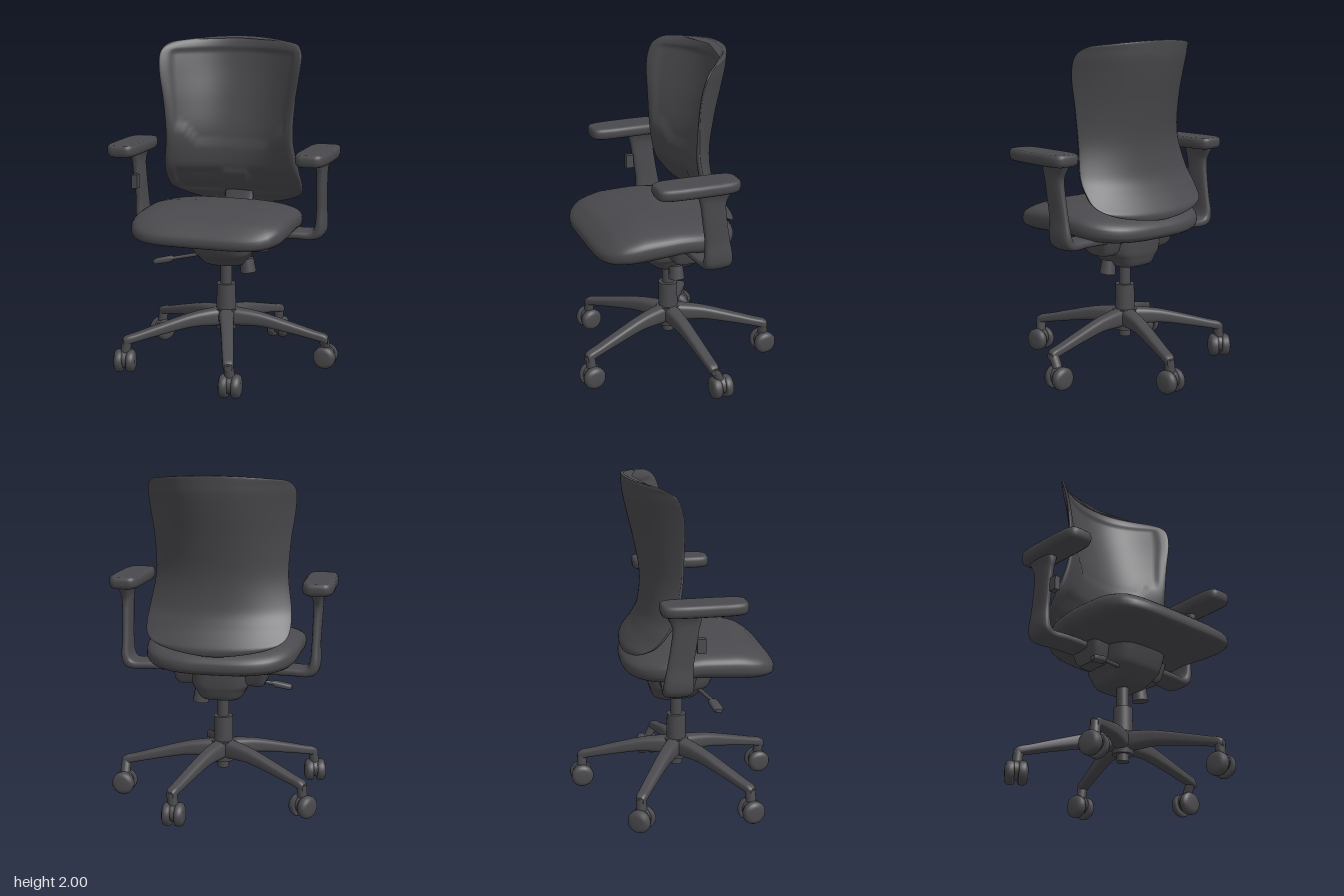
import * as THREE from 'three';

const V = (x, y, z) => new THREE.Vector3(x, y, z);
const charcoal = new THREE.MeshStandardMaterial({ color: 0x4a494d });
charcoal.name = 'charcoal';
const { smoothstep, clamp, lerp } = THREE.MathUtils;
const spow = (v, p) => Math.sign(v) * Math.abs(v) ** p;

// Smoothly resample a table of stations (rows of numbers) to n + 1 rows
function resample(rows, n) {
  const at = i => rows[clamp(i, 0, rows.length - 1)];
  return Array.from({ length: n + 1 }, (_, k) => {
    const f = k / n * (rows.length - 1), i = Math.min(Math.floor(f), rows.length - 2), t = f - i;
    return rows[0].map((_, c) => {
      const [a, b, d, e] = [at(i - 1)[c], at(i)[c], at(i + 1)[c], at(i + 2)[c]];
      return b + 0.5 * t * (d - a + t * (2 * a - 5 * b + 4 * d - e + t * (3 * (b - d) + e - a)));
    });
  });
}

// Piecewise linear lookup in [[key, value], ...]
function lookup(table, k) {
  let i = 0;
  while (i < table.length - 2 && k > table[i + 1][0]) i++;
  const [[a, p], [b, q]] = [table[i], table[i + 1]];
  return lerp(p, q, clamp((k - a) / (b - a), 0, 1));
}

// Closed skin over rings of points, capped at both ends, faces turned outward
function skin(rings) {
  const n = rings[0].length, pos = [], idx = [];
  rings.forEach(r => r.forEach(p => pos.push(p.x, p.y, p.z)));
  for (let i = 0; i < rings.length - 1; i++) for (let j = 0; j < n; j++) {
    const a = i * n + j, b = i * n + (j + 1) % n;
    idx.push(a, b, a + n, b, b + n, a + n);
  }
  [rings[0], rings[rings.length - 1]].forEach((r, end) => {
    const c = r.reduce((s, p) => s.add(p), V(0, 0, 0)).divideScalar(n), o = pos.length / 3;
    [c, ...r].forEach(p => pos.push(p.x, p.y, p.z));
    for (let j = 0; j < n; j++) {
      const a = o + 1 + j, b = o + 1 + (j + 1) % n;
      idx.push(o, ...(end ? [a, b] : [b, a]));
    }
  });
  const P = i => V(pos[3 * i], pos[3 * i + 1], pos[3 * i + 2]);
  let vol = 0;
  for (let i = 0; i < idx.length; i += 3) vol += P(idx[i]).dot(P(idx[i + 1]).cross(P(idx[i + 2])));
  if (vol < 0) idx.reverse();
  const g = new THREE.BufferGeometry();
  g.setAttribute('position', new THREE.Float32BufferAttribute(pos, 3));
  g.setIndex(idx);
  g.computeVertexNormals();
  return g;
}

// Superellipse ring about c with half axes a and b
function ring(c, a, b, m = 3, n = 28) {
  return Array.from({ length: n }, (_, j) => {
    const t = j / n * Math.PI * 2;
    return c.clone().addScaledVector(a, spow(Math.cos(t), 2 / m)).addScaledVector(b, spow(Math.sin(t), 2 / m));
  });
}

function add(parent, name, geo, x = 0, y = 0, z = 0) {
  const m = new THREE.Mesh(geo, charcoal);
  m.name = name;
  m.position.set(x, y, z);
  parent.add(m);
  return m;
}
const cyl = (r1, r2, h, n = 28) => new THREE.CylinderGeometry(r1, r2, h, n);

// Cushion: squarer at the front, rounder at the back
function seatGeometry() {
  const top = [[-0.35, 0.98], [-0.1, 1.03], [0.1, 1.045], [0.3, 1.043], [0.45, 1.015], [0.55, 0.96]];
  const bottom = [[-0.35, 0.8], [-0.15, 0.81], [0.05, 0.84], [0.3, 0.82], [0.55, 0.805]];
  const rings = [];
  for (let i = 0; i <= 32; i++) {
    const f = (i / 32 - 0.5) * Math.PI * 0.998, k = Math.cos(f) ** (2 / 2.8), s = spow(Math.sin(f), 2 / 2.8);
    rings.push(Array.from({ length: 80 }, (_, j) => {
      const t = j / 80 * Math.PI * 2, c = Math.cos(t), d = Math.sin(t), n = d > 0 ? 4.8 : 2.9;
      const r = k / (Math.abs(c) ** n + Math.abs(d) ** n) ** (1 / n);
      const z = 0.1 + 0.447 * d * r, hi = lookup(top, z), lo = lookup(bottom, z);
      return V(0.47 * c * r, (hi + lo) / 2 + s * (hi - lo) / 2, z);
    }));
  }
  return skin(rings);
}

// Curved back shell with a recessed front panel and lumbar relief
function backGeometry() {
  // height, half width, rear centre z, side edge z, thickness
  const rows = resample([
    [0.955, 0.22, -0.325, -0.3, 0.015], [0.965, 0.3, -0.335, -0.29, 0.03], [1.0, 0.375, -0.335, -0.26, 0.05],
    [1.05, 0.42, -0.305, -0.21, 0.06], [1.12, 0.435, -0.26, -0.155, 0.07], [1.22, 0.428, -0.222, -0.09, 0.07],
    [1.4, 0.402, -0.21, -0.045, 0.065], [1.6, 0.412, -0.243, -0.032, 0.055], [1.78, 0.438, -0.285, -0.032, 0.05],
    [1.89, 0.446, -0.308, -0.055, 0.05], [1.95, 0.432, -0.314, -0.085, 0.045], [1.985, 0.4, -0.316, -0.13, 0.035],
    [1.998, 0.34, -0.315, -0.18, 0.018], [2.0, 0.3, -0.313, -0.2, 0.006]], 84);
  return skin(rows.map(([y, w, zr, ze, t]) => Array.from({ length: 144 }, (_, j) => {
    const a = j / 144 * Math.PI * 2, u = Math.cos(a), q = Math.abs(u), x = w * u;
    let z = zr + (ze - zr) * q ** 2.2;
    const ends = Math.sqrt(Math.max(0, 1 - q ** 6));
    if (Math.sin(a) > 0) {
      const panel = (1 - smoothstep(q, 0.82, 0.89)) * smoothstep(y, 1.02, 1.06) * (1 - smoothstep(y, 1.9, 1.94));
      const rise = 1.36 + 0.11 * smoothstep(Math.abs(x), 0.2, 0.32);
      const lumbar = smoothstep(y, 1.16, 1.22) * (1 - smoothstep(y, rise - 0.02, rise + 0.01));
      const stem = (1 - smoothstep(Math.abs(x), 0.07, 0.1)) * smoothstep(y, 1.01, 1.04) * (1 - smoothstep(y, 1.17, 1.2));
      z += t * ends + panel * (-0.012 + 0.012 * lumbar + 0.014 * stem);
    } else z -= 0.008 * ends;
    const bend = -0.022 * smoothstep(y, 1.85, 2) + 0.03 * (1 - smoothstep(y, 0.95, 1.1));
    return V(x, y + bend * q * q, z);
  })));
}

// Armrest for side s: swept support, button and pad
function armrest(s) {
  const g = new THREE.Group();
  g.name = s > 0 ? 'leftArmrest' : 'rightArmrest';
  // x, y, z, half width in z, half thickness, direction angle
  const path = resample([
    [0.2, 0.835, -0.06, 0.08, 0.03, 0], [0.42, 0.84, -0.075, 0.085, 0.028, 0], [0.52, 0.84, -0.085, 0.085, 0.03, 0.1],
    [0.563, 0.86, -0.085, 0.087, 0.036, 0.8], [0.576, 0.91, -0.083, 0.085, 0.03, 1.5], [0.577, 1.0, -0.075, 0.075, 0.025, 1.57],
    [0.58, 1.12, -0.057, 0.073, 0.026, 1.57], [0.583, 1.22, -0.045, 0.075, 0.027, 1.57],
    [0.583, 1.27, -0.048, 0.09, 0.032, 1.57], [0.583, 1.32, -0.06, 0.105, 0.05, 1.57]], 40);
  add(g, 'armSupport', skin(path.map(([x, y, z, hz, ht, a]) =>
    ring(V(s * x, y, z), V(0, 0, hz), V(-s * Math.sin(a) * ht, Math.cos(a) * ht, 0)))));
  const pad = [[1.305, 0.78], [1.312, 0.92], [1.33, 0.99], [1.352, 1], [1.368, 0.97], [1.376, 0.88], [1.377, 0.7]];
  add(g, 'armPad', skin(pad.map(([y, k]) =>
    ring(V(s * 0.584, y, 0.057), V(0.095 * k, 0, 0), V(0, 0, 0.247 - 0.095 * (1 - k)), 4.5, 48)
      .map(p => (p.x -= s * 0.008 * (p.z > 0 ? p.z / 0.3 : 0), p)))));
  if (s < 0) add(g, 'heightButton', new THREE.BoxGeometry(0.035, 0.085, 0.05), -0.572, 1.12, 0.045);
  return g;
}

// Twin-wheel caster, axle along its own x
function caster(x, z, yaw) {
  const g = new THREE.Group();
  g.name = 'caster';
  const profile = [[0, -0.029], [0.04, -0.029], [0.06, -0.022], [0.069, -0.008], [0.069, 0.012], [0.064, 0.025], [0, 0.025]]
    .map(p => new THREE.Vector2(...p));
  for (const s of [-1, 1]) {
    const w = add(g, 'wheel', new THREE.LatheGeometry(profile, 32), s * 0.037, 0.07, 0);
    w.rotation.z = s * Math.PI / 2;
  }
  const hood = add(g, 'casterHood', cyl(0.055, 0.055, 0.06), 0, 0.082, 0);
  hood.rotation.z = Math.PI / 2;
  g.position.set(x, 0, z);
  g.rotation.y = yaw;
  return g;
}

// One star-base leg reaching from the hub to its tip, with a stem down to the caster
function leg(x, z, cx, cz) {
  const g = new THREE.Group(), r = Math.hypot(x, z), d = V(x / r, 0, z / r), side = V(-d.z, 0, d.x);
  g.name = 'leg';
  const rows = resample([[0, 0.302, 0.05, 0.053], [0.08, 0.3, 0.047, 0.053], [0.22, 0.29, 0.04, 0.042],
    [0.4, 0.25, 0.036, 0.033], [0.54, 0.215, 0.033, 0.027], [0.6, 0.2, 0.031, 0.027], [0.625, 0.188, 0.022, 0.022]], 24);
  add(g, 'legBeam', skin(rows.map(([k, y, w, h]) =>
    ring(d.clone().multiplyScalar(k * r / 0.6).setY(y), side.clone().multiplyScalar(w), V(0, h, 0), 3.2))));
  add(g, 'casterStem', skin([[0.2, 0], [0.17, 0.3], [0.1, 1]].map(([y, k]) =>
    ring(V(lerp(x, cx, k), y, lerp(z, cz, k)), V(0.03, 0, 0), V(0, 0, 0.03), 2))));
  return g;
}

export function createModel() {
  const model = new THREE.Group();
  model.name = 'officeChair';
  add(model, 'seatCushion', seatGeometry());
  add(model, 'backrest', backGeometry());
  model.add(armrest(1), armrest(-1));

  // Tilt mechanism under the seat
  const mech = new THREE.Group();
  mech.name = 'tiltMechanism';
  model.add(mech);
  const body = resample([[0.635, 0.09, -0.11, 0.07], [0.65, 0.125, -0.15, 0.11], [0.7, 0.155, -0.17, 0.17],
    [0.74, 0.18, -0.18, 0.2], [0.85, 0.19, -0.19, 0.24]], 16);
  add(mech, 'mechanismHousing', skin(body.map(([y, w, a, b]) =>
    ring(V(0, y, (a + b) / 2), V(w, 0, 0), V(0, 0, (b - a) / 2), 3.5, 40))));
  for (const s of [-1, 1]) {
    add(mech, 'sideBracket', skin([[0.73, 0.265, 0.07], [0.76, 0.28, 0.1], [0.85, 0.3, 0.12]].map(([y, w, d]) =>
      ring(V(s * (w + 0.1) / 2, y, -0.03), V((w - 0.1) / 2, 0, 0), V(0, 0, d), 5))));
  }
  add(mech, 'backSpine', skin([[0.83, -0.15], [0.9, -0.25], [1.06, -0.27]].map(([y, z]) =>
    ring(V(0, y, z), V(0.09, 0, 0), V(0, 0, 0.025), 4))));
  // Lever with paddle on the right, tension knob on the left
  add(mech, 'lever', skin([[-0.1, 0.715, 0.1, 0.011, 0.011], [-0.28, 0.685, 0.165, 0.011, 0.011],
    [-0.3, 0.68, 0.17, 0.028, 0.02], [-0.385, 0.662, 0.185, 0.03, 0.018], [-0.4, 0.66, 0.187, 0.02, 0.012]]
    .map(([x, y, z, hz, hy]) => ring(V(x, y, z), V(0, 0, hz), V(0, hy, 0), 3))));
  const knob = add(mech, 'tensionKnob', cyl(0.042, 0.05, 0.085, 12), 0.138, 0.635, 0);
  knob.rotation.z = 0.12;

  // Gas lift and hub
  add(model, 'piston', cyl(0.036, 0.036, 0.22), 0, 0.59, 0);
  add(model, 'liftSleeve', cyl(0.058, 0.06, 0.19), 0, 0.415, 0);
  add(model, 'hub', cyl(0.075, 0.06, 0.13), 0, 0.288, 0);
  add(model, 'hubNub', cyl(0.038, 0.036, 0.06), 0, 0.21, 0);

  // Legs and casters: tip x, tip z, caster x, caster z, caster yaw
  for (const [x, z, cx, cz, yaw] of [[0.61, -0.05, 0.61, -0.1, Math.PI / 2], [0.185, -0.575, 0.175, -0.58, 0.05],
    [-0.53, -0.295, -0.54, -0.295, -0.6], [-0.515, 0.355, -0.53, 0.36, 0.25], [0.2, 0.58, 0.21, 0.572, 0.15]]) {
    model.add(leg(x, z, cx, cz), caster(cx, cz, yaw));
  }
  return model;
}
